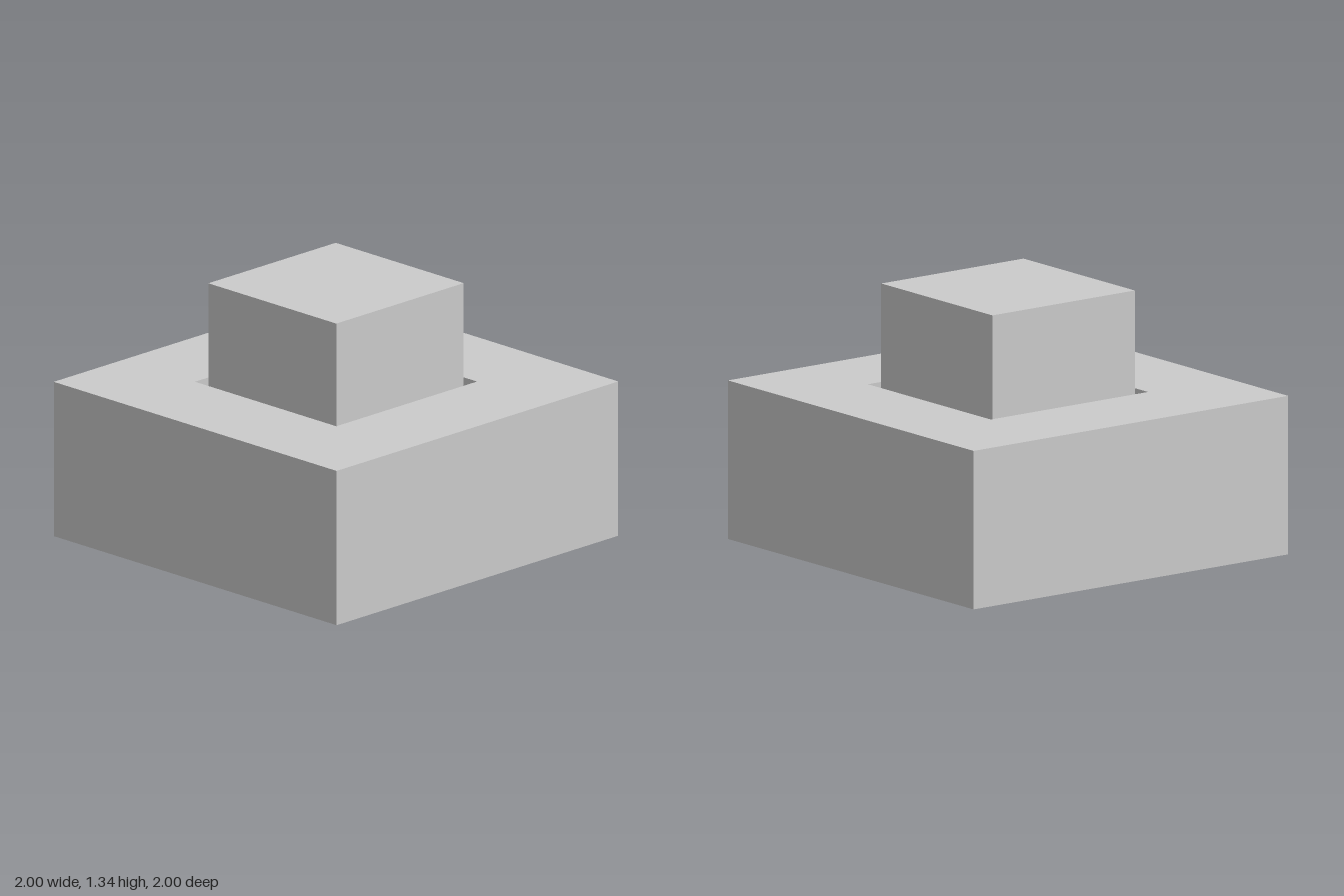
import * as THREE from 'three';

export function createModel() {
  const model = new THREE.Group();
  const material = new THREE.MeshStandardMaterial({ color: 0xcccccc, flatShading: true });

  const BASE_TOP = 0.815, FLOOR = 0.41, BUTTON_TOP = 1.335;

  const square = (half, Type = THREE.Shape) => new Type([
    new THREE.Vector2(-half, -half), new THREE.Vector2(half, -half),
    new THREE.Vector2(half, half), new THREE.Vector2(-half, half),
  ]);

  const add = (name, geometry) => {
    const mesh = new THREE.Mesh(geometry, material);
    mesh.name = name;
    model.add(mesh);
    return mesh;
  };

  // Base block with a square socket open at the top
  const outline = square(1);
  outline.holes.push(square(0.5, THREE.Path));
  const base = new THREE.ExtrudeGeometry(outline, { depth: BASE_TOP, bevelEnabled: false });
  base.rotateX(-Math.PI / 2);
  add('base', base);

  // Plug that closes the underside and forms the socket floor
  add('socketFloor', new THREE.BoxGeometry(1, FLOOR, 1)).position.y = FLOOR / 2;

  // Square button standing in the socket with a narrow gap all round
  const height = BUTTON_TOP - FLOOR;
  add('button', new THREE.BoxGeometry(0.905, height, 0.905)).position.y = FLOOR + height / 2;

  return model;
}
